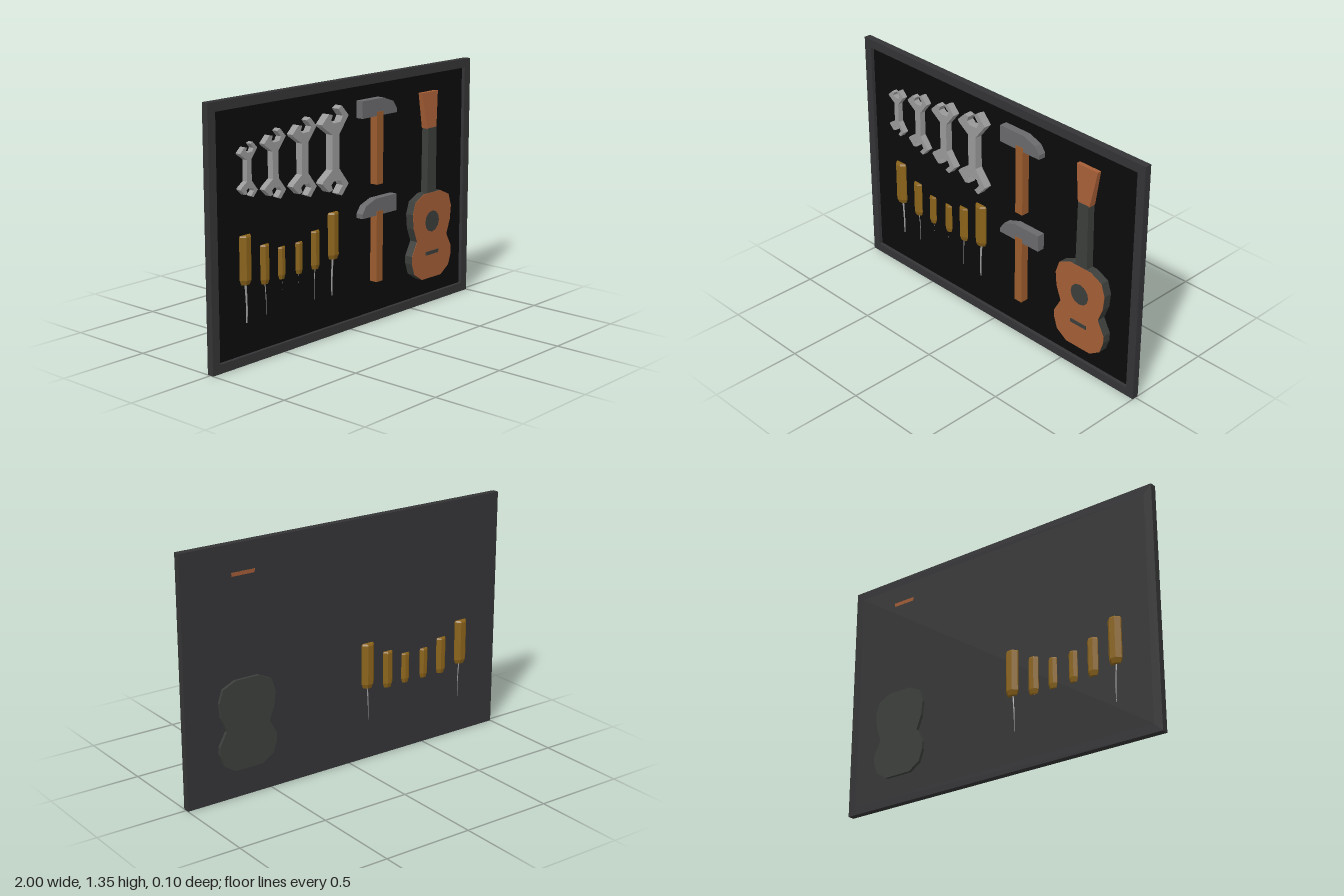
import * as THREE from 'three';

const mat = (color) => new THREE.MeshStandardMaterial({ color, flatShading: true });
const M = {
  frame: mat(0x343436), panel: mat(0x0b0b0b), steel: mat(0x9a9a9a), iron: mat(0x6a6a6d),
  wood: mat(0x9c5c2e), maple: mat(0xa55e36), dark: mat(0x3b3e3b), amber: mat(0x8a631a),
};

function add(parent, name, geometry, material) {
  const mesh = new THREE.Mesh(geometry, material);
  mesh.name = name;
  parent.add(mesh);
  return mesh;
}

function group(parent, name, x = 0, y = 0) {
  const g = new THREE.Group();
  g.name = name;
  g.position.set(x, y, 0);
  parent.add(g);
  return g;
}

// Flat outline extruded between two z values, with an optional hole
function slab(points, z0, z1, hole) {
  const shape = new THREE.Shape(points.map(([x, y]) => new THREE.Vector2(x, y)));
  if (hole) shape.holes.push(new THREE.Path(hole.map(([x, y]) => new THREE.Vector2(x, y))));
  return new THREE.ExtrudeGeometry(shape, { depth: z1 - z0, bevelEnabled: false }).translate(0, 0, z0);
}

const rect = (x0, x1, y0, y1) => [[x0, y0], [x1, y0], [x1, y1], [x0, y1]];

// Double open-ended wrench: one tilted jaw outline, mirrored downwards
function wrench(parent, x, y, half, front) {
  const jaw = [[.115, .39], [.41, .76], [.19, 1], [.07, .94], [.22, .77], [.15, .65],
    [-.07, .64], [-.15, .71], [-.1, .83], [-.22, .86], [-.44, .65], [-.4, .59], [-.115, .39]];
  const outline = [...jaw, ...jaw.map(([a, b]) => [a, -b]).reverse()];
  const g = group(parent, 'wrench', x, y);
  add(g, 'wrenchBody', slab(outline.map(([a, b]) => [a * half, b * half]), -.005, front), M.steel);
}

// Hammer with a sloping claw on one side (dir = 1 puts it at +x)
function hammer(parent, x, y, dir) {
  const g = group(parent, 'hammer', x, y);
  const head = [[-.138, 0], [.136, 0], [.136, .025], [.108, .064], [.03, .092], [-.138, .092]];
  add(g, 'hammerHead', slab(head.map(([a, b]) => [a * dir, b]), -.005, .043), M.iron);
  add(g, 'hammerHandle', slab(rect(-.025, .025, -.368, .022), -.005, .045), M.wood);
}

// Screwdriver: eight-sided handle sunk through the board, slightly bowed blade
function screwdriver(parent, x, radius, top, bottom, tip, bow) {
  const g = group(parent, 'screwdriver', x, 0);
  const profile = [[0, bottom], [radius * .75, bottom], [radius, bottom + .025],
    [radius, top - .008], [radius * .88, top], [0, top]].map(([a, b]) => new THREE.Vector2(a, b));
  const handle = add(g, 'screwdriverHandle', new THREE.LatheGeometry(profile, 8), M.amber);
  handle.rotation.y = Math.PI / 8;
  handle.position.z = -.01;

  const length = bottom - tip + .01;
  const r = radius * .31;
  const blade = new THREE.CylinderGeometry(r, r * .85, length, 6, 5);
  const p = blade.attributes.position;
  for (let i = 0; i < p.count; i++) {
    const t = .5 - p.getY(i) / length;
    p.setX(i, p.getX(i) + bow * Math.sin(t * 2.2));
  }
  blade.computeVertexNormals();
  const mesh = add(g, 'screwdriverBlade', blade, M.steel);
  mesh.position.set(0, tip + length / 2, -.008);
}

function guitar(parent) {
  const g = group(parent, 'guitar', .642, 0);
  const side = [[.07, .642], [.143, .608], [.166, .54], [.158, .46], [.128, .382], [.17, .305],
    [.17, .262], [.148, .198], [.082, .155]];
  const outline = [...side, ...side.map(([x, y]) => [-x, y]).reverse()];
  const hole = Array.from({ length: 12 }, (_, i) => {
    const a = -i * Math.PI / 6;
    return [.06 * Math.cos(a), .478 + .06 * Math.sin(a)];
  });
  add(g, 'guitarBack', slab(outline, -.035, .03), M.dark);
  add(g, 'guitarSides', slab(outline, .03, .048, hole), M.dark);
  add(g, 'soundboard', slab(outline, .048, .05, hole), M.maple);
  add(g, 'bridge', slab(rect(-.053, .053, .29, .31), .045, .054), M.dark);
  add(g, 'neck', slab([[-.039, .63], [.039, .63], [.034, 1.003], [-.034, 1.003]], 0, .044), M.dark);

  // Headstock leans back so its top edge just breaks through the board
  const head = slab([[-.038, 1], [.038, 1], [.069, 1.198], [-.069, 1.198]], -.002, .041);
  const p = head.attributes.position;
  for (let i = 0; i < p.count; i++) p.setZ(i, p.getZ(i) - (p.getY(i) - 1) * .09);
  head.computeVertexNormals();
  add(g, 'headstock', head, M.maple);
}

export function createModel() {
  const model = new THREE.Group();
  model.name = 'toolBoard';

  // Framed board with a recessed black panel
  const H = 1.345;
  const board = group(model, 'board');
  const opening = rect(-.952, .952, .048, H - .048);
  add(board, 'frame', slab(rect(-1, 1, 0, H), -.018, .02, opening.slice().reverse()), M.frame);
  add(board, 'backPlate', slab(opening, -.018, -.004), M.frame);
  add(board, 'panel', slab(opening, -.004, 0), M.panel);

  // Wrenches, small to large
  [[-.745, .137, .031], [-.568, .177, .035], [-.363, .204, .04], [-.14, .235, .045]]
    .forEach(([x, half, front]) => wrench(model, x, .985, half, front));

  hammer(model, .204, 1.128, 1);
  hammer(model, .204, .593, -1);

  // Screwdrivers, two mirrored sets of three
  const sizes = [[.318, .041, .66, .41, .21], [.183, .033, .587, .383, .22], [.063, .028, .551, .383, .248]];
  for (const s of [-1, 1]) {
    for (const [dx, r, top, bottom, tip] of sizes) {
      screwdriver(model, -.436 + s * dx, r, top, bottom, tip, -s * .008);
    }
  }

  guitar(model);
  return model;
}
